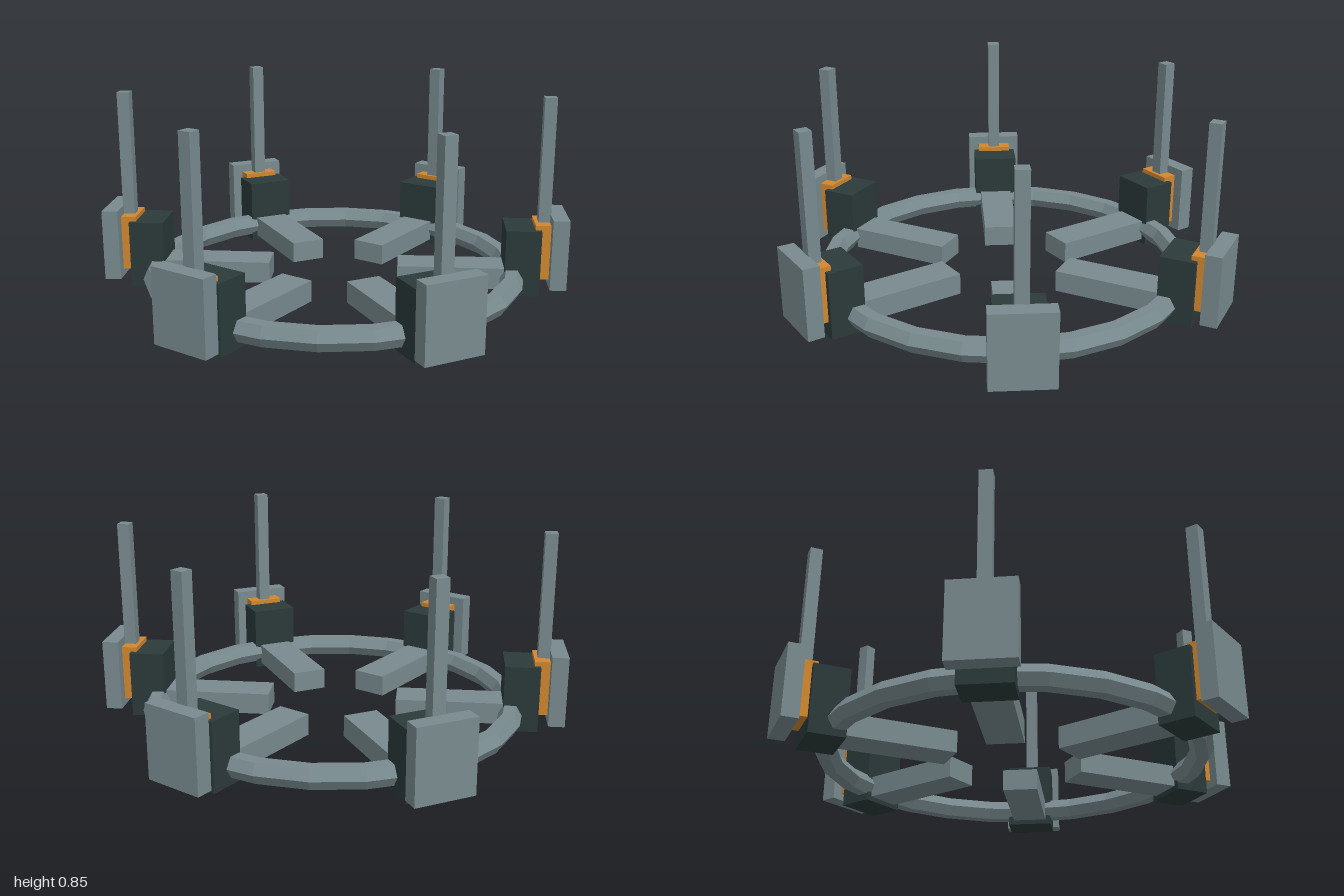
import * as THREE from 'three';

const material = (name, color) => {
  const m = new THREE.MeshStandardMaterial({ color });
  m.name = name;
  return m;
};

export function createModel() {
  const steel = material('steelGrey', 0x788a8e);
  const dark = material('darkHousing', 0x2b3a3a);
  const orange = material('orangeAccent', 0xd1862f);
  const model = new THREE.Group();
  model.name = 'ringStation';

  // Box given by its radial, vertical and sideways extents
  const addBox = (parent, name, mat, r0, r1, y0, y1, halfWidth) => {
    const mesh = new THREE.Mesh(new THREE.BoxGeometry(r1 - r0, y1 - y0, halfWidth * 2), mat);
    mesh.position.set((r0 + r1) / 2, (y0 + y1) / 2, 0);
    mesh.name = name;
    parent.add(mesh);
  };

  // Faceted ring with a hexagonal section
  const ringGeometry = new THREE.TorusGeometry(0.783, 0.05, 6, 24).rotateX(Math.PI / 2).toNonIndexed();
  ringGeometry.computeVertexNormals();
  const ring = new THREE.Mesh(ringGeometry, steel);
  ring.position.y = 0.073;
  ring.name = 'ring';
  model.add(ring);

  // Six identical stations around the ring
  for (let i = 0; i < 6; i++) {
    const station = new THREE.Group();
    station.name = `station${i + 1}`;
    station.rotation.y = (i * Math.PI) / 3;
    addBox(station, 'spoke', steel, 0.28, 0.76, 0.02, 0.113, 0.076);
    addBox(station, 'housing', dark, 0.74, 0.89, 0, 0.29, 0.102);
    addBox(station, 'bracket', orange, 0.865, 0.93, 0.07, 0.31, 0.078);
    addBox(station, 'outerPanel', steel, 0.93, 1, 0.038, 0.347, 0.127);
    addBox(station, 'post', steel, 0.881, 0.933, 0.25, 0.85, 0.027);
    model.add(station);
  }
  return model;
}
